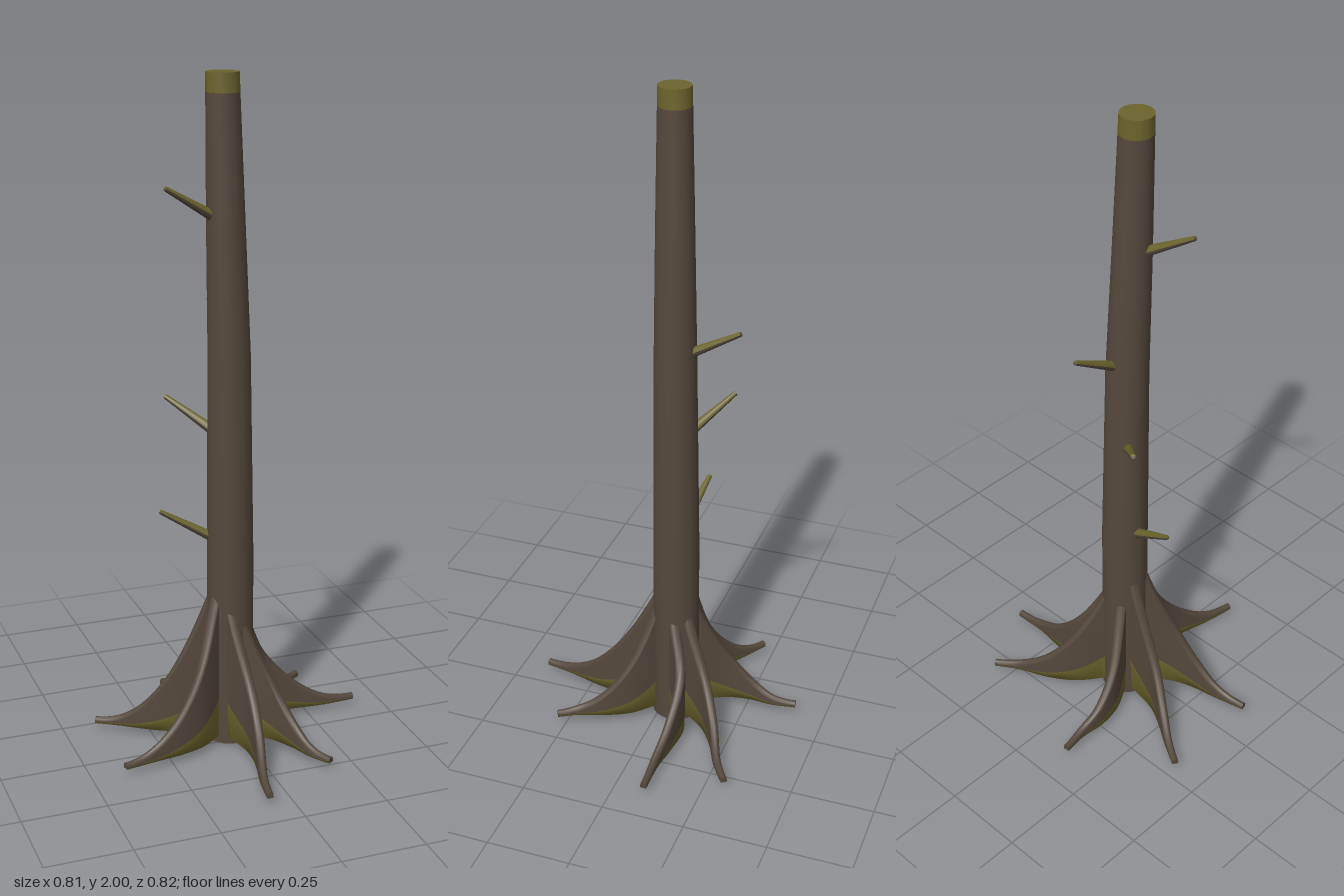
import * as THREE from 'three';

const V = (x, y, z) => new THREE.Vector3(x, y, z);

// Skin a series of cross-sections (each an equal-length list of points)
function loft(rings) {
  const n = rings[0].length, pos = [], idx = [];
  rings.forEach(r => r.forEach(p => pos.push(p.x, p.y, p.z)));
  for (let i = 0; i < rings.length - 1; i++) {
    for (let j = 0; j < n - 1; j++) {
      const a = i * n + j, b = a + 1, c = a + n, d = c + 1;
      idx.push(a, b, c, b, d, c);
    }
  }
  const g = new THREE.BufferGeometry();
  g.setAttribute('position', new THREE.Float32BufferAttribute(pos, 3));
  g.setIndex(idx);
  g.computeVertexNormals();
  return g;
}

export function createModel() {
  const bark = new THREE.MeshStandardMaterial({ color: 0x54483c, side: THREE.DoubleSide });
  bark.name = 'bark';
  const moss = new THREE.MeshStandardMaterial({ color: 0x6b642c, side: THREE.DoubleSide });
  moss.name = 'moss';

  const model = new THREE.Group();
  model.name = 'deadTree';
  const add = (parent, geo, mat, name) => {
    const m = new THREE.Mesh(geo, mat);
    m.name = name;
    parent.add(m);
    return m;
  };

  // Trunk: leaning, tapering; rows are x, y, z, radius
  const spine = [
    [-0.026, 0, -0.043, 0.071], [-0.024, 0.6, -0.042, 0.069], [-0.028, 1.2, -0.035, 0.062],
    [-0.040, 1.6, -0.028, 0.055], [-0.049, 1.945, -0.023, 0.048], [-0.050, 2, -0.022, 0.047],
  ];
  const ring = ([x, y, z, r], sides = 20) => Array.from({ length: sides + 1 }, (_, i) => {
    const a = -i / sides * Math.PI * 2;
    return V(x + r * Math.cos(a), y, z + r * Math.sin(a));
  });
  add(model, loft(spine.slice(0, 5).map(s => ring(s))), bark, 'trunk');
  add(model, loft(spine.slice(4).map(s => ring(s))), moss, 'trunkTopBand');
  [[spine[5], moss, 'trunkTop', -1], [spine[0], bark, 'trunkBase', 1]].forEach(([s, mat, name, dir]) => {
    const cap = add(model, new THREE.CircleGeometry(s[3], 20), mat, name);
    cap.rotation.x = dir * Math.PI / 2;
    cap.position.set(s[0], s[1], s[2]);
  });

  // Buttress roots: plan path (x, z) and height against the trunk
  const roots = [
    [0.36, [-0.055, -0.09], [-0.105, -0.18], [-0.12, -0.26], [-0.115, -0.33], [-0.125, -0.405]],
    [0.34, [0.012, -0.095], [0.07, -0.17], [0.14, -0.22], [0.23, -0.262], [0.30, -0.307]],
    [0.34, [0.03, -0.055], [0.10, -0.10], [0.20, -0.10], [0.30, -0.09], [0.405, -0.093]],
    [0.36, [0.0, 0.01], [0.07, 0.07], [0.11, 0.14], [0.14, 0.22], [0.173, 0.277]],
    [0.40, [-0.04, 0.015], [-0.02, 0.12], [-0.025, 0.20], [-0.055, 0.32], [-0.07, 0.408]],
    [0.43, [-0.085, -0.012], [-0.15, 0.04], [-0.22, 0.066], [-0.30, 0.08], [-0.402, 0.10]],
    [0.44, [-0.08, -0.062], [-0.20, -0.09], [-0.27, -0.13], [-0.33, -0.172], [-0.402, -0.217]],
  ];
  const base = 0.022, steps = 20;
  roots.forEach(([rise, ...plan], k) => {
    const root = new THREE.Group();
    root.name = `root${k + 1}`;
    model.add(root);
    const path = new THREE.CatmullRomCurve3(plan.map(([x, z]) => V(x, 0, z)));
    const upper = [], lower = [];
    for (let i = 0; i <= steps; i++) {
      const t = i / steps, p = path.getPointAt(t), tan = path.getTangentAt(t);
      const w = 0.017 - 0.007 * t;
      const top = 0.04 + rise * Math.pow(1 - t, 2.2);
      const line = base + 0.004 + 0.28 * (top - 0.04) * (1 - 0.3 * t);
      const at = (s, y) => V(p.x - tan.z * s * w, y, p.z + tan.x * s * w);
      // rounded ridge over straight sides
      const shoulder = top - Math.min(w * 1.3, (top - line) * 0.7);
      const arch = [0, 1, 2, 3, 4, 5, 6].map(j => {
        const a = j / 6 * Math.PI;
        return at(Math.cos(a), shoulder + (top - shoulder) * Math.sin(a));
      });
      upper.push([at(1, line), ...arch, at(-1, line)]);
      lower.push([at(-1, line), at(-0.9, base), at(0.9, base), at(1, line)]);
    }
    add(root, loft(upper), bark, 'rootRidge');
    add(root, loft(lower), moss, 'rootMossyFoot');
    const end = upper[steps], mid = end[0].clone().lerp(end[end.length - 1], 0.5);
    add(root, loft([end, end.map(() => mid)]), bark, 'rootTip');
    add(root, loft([lower[steps], lower[steps].map(() => mid)]), bark, 'rootTipFoot');
  });

  // Broken branch stubs: start and end points, mossy along the upper half
  const stubs = [
    [V(-0.07, 1.60, -0.022), V(-0.228, 1.695, 0.009)],
    [V(-0.025, 1.235, -0.07), V(-0.021, 1.325, -0.229)],
    [V(-0.06, 0.965, -0.065), V(-0.179, 1.057, -0.169)],
    [V(-0.065, 0.64, -0.05), V(-0.228, 0.735, -0.078)],
  ];
  stubs.forEach(([from, to], k) => {
    const branch = new THREE.Group();
    branch.name = `branch${k + 1}`;
    model.add(branch);
    const dir = to.clone().sub(from);
    const side = V(0, 1, 0).cross(dir).normalize();
    const up = dir.clone().normalize().cross(side);
    const half = (c, r, start) => Array.from({ length: 7 }, (_, i) => {
      const a = start + i / 6 * Math.PI;
      return c.clone().addScaledVector(side, r * Math.cos(a)).addScaledVector(up, r * Math.sin(a));
    });
    [[0, moss, 'branchMoss'], [Math.PI, bark, 'branchUnderside']].forEach(([start, mat, name]) => {
      add(branch, loft([half(from, 0.016, start), half(to, 0.007, start)]), mat, name);
      add(branch, loft([half(to, 0.007, start), half(to, 0, start)]), mat, name + 'Tip');
    });
  });

  return model;
}
